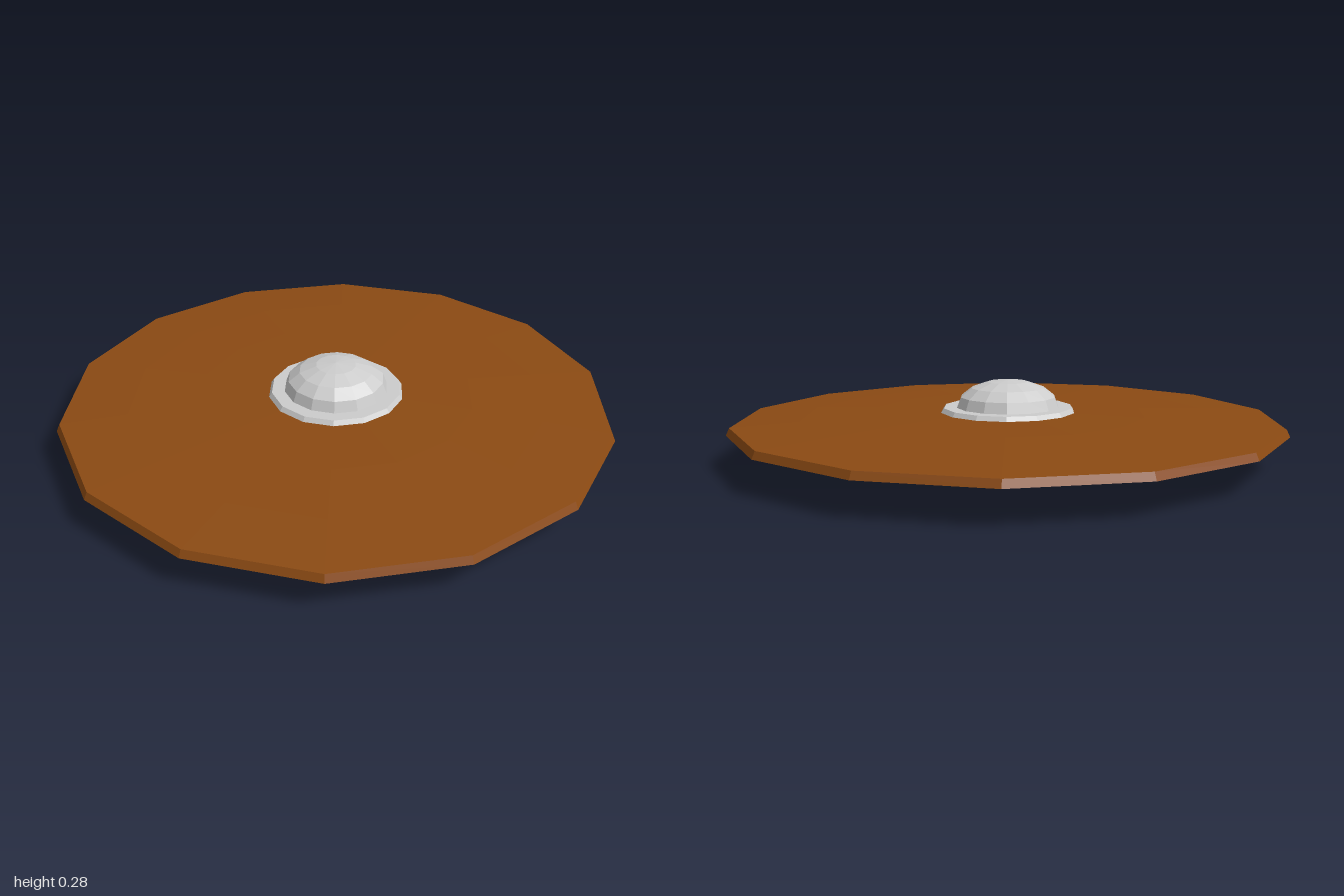
import * as THREE from 'three';

const SIDES = 14;
const wood = new THREE.MeshStandardMaterial({ color: 0x8b4a13, flatShading: true });
const metal = new THREE.MeshStandardMaterial({ color: 0xcccccc, flatShading: true, side: THREE.DoubleSide });

function lathe(name, points, material) {
  const profile = points.map(([r, y]) => new THREE.Vector2(r, y));
  const mesh = new THREE.Mesh(new THREE.LatheGeometry(profile, SIDES), material);
  mesh.name = name;
  return mesh;
}

// Half of a flattened 14-sided ring, swept across the strap's width
function strapGeometry(width) {
  const arc = (rz, ry) => {
    const pts = [];
    for (let i = 0; i < 8; i++) {
      const a = ((i - 3.5) / SIDES) * Math.PI * 2;
      pts.push(new THREE.Vector2(rz * Math.sin(a), 0.156 - ry * Math.cos(a)));
    }
    return pts;
  };
  const outline = [...arc(0.328, 0.16), ...arc(0.314, 0.146).reverse()];
  const geo = new THREE.ExtrudeGeometry(new THREE.Shape(outline), { depth: width, bevelEnabled: false });
  geo.translate(0, 0, -width / 2);
  geo.rotateY(-Math.PI / 2);
  return geo;
}

export function createModel() {
  const model = new THREE.Group();
  model.name = 'roundShield';

  // Gently domed board with a slanted rim and a round hole in the middle
  const board = [[0.24, 0.145], [0.5, 0.138], [0.75, 0.128], [1, 0.115],
    [0.988, 0.141], [0.75, 0.154], [0.5, 0.164], [0.24, 0.17], [0.24, 0.145]];
  model.add(lathe('board', board, wood));

  // Hollow boss: flange wall, flat flange, then the dome
  const boss = [[0.247, 0.145], [0.247, 0.168], [0.235, 0.186], [0.188, 0.186]];
  for (let i = 1; i <= 4; i++) {
    const a = (i / 4) * Math.PI / 2;
    boss.push([i === 4 ? 0 : 0.188 * Math.cos(a), 0.186 + 0.099 * Math.sin(a)]);
  }
  model.add(lathe('boss', boss, metal));

  // Two arm straps under the board
  const strap = strapGeometry(0.065);
  for (const side of [1, -1]) {
    const mesh = new THREE.Mesh(strap, wood);
    mesh.name = side > 0 ? 'leftStrap' : 'rightStrap';
    mesh.position.x = side * 0.288;
    model.add(mesh);
  }
  return model;
}
